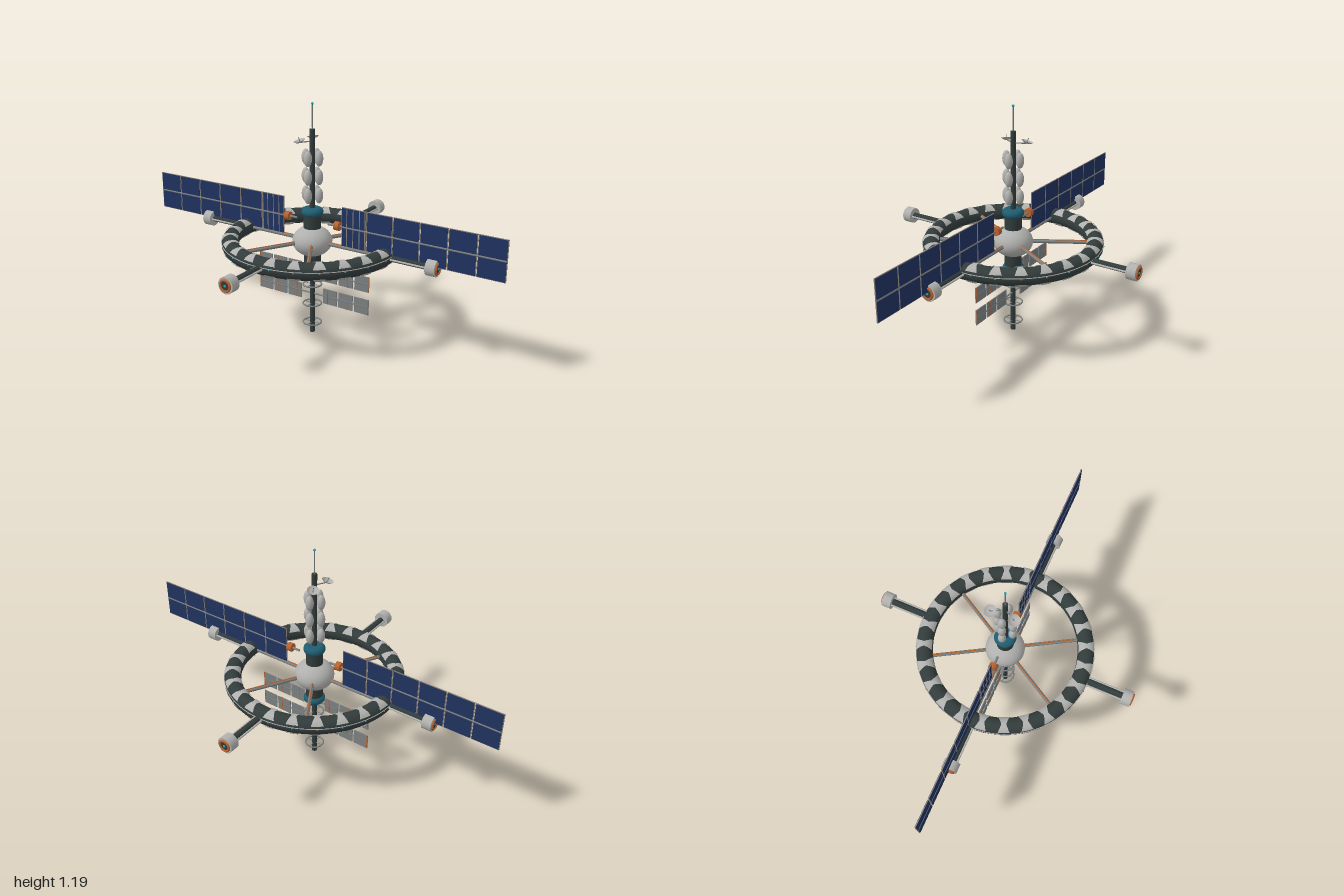
import * as THREE from 'three';

const mat = (name, color, extra = {}) => {
  const m = new THREE.MeshStandardMaterial({ color, ...extra });
  m.name = name;
  return m;
};

export function createModel() {
  const dark = mat('dark hull', 0x323c3b);
  const light = mat('light grey', 0xb0b0ae, { side: THREE.DoubleSide });
  const mid = mat('mid grey', 0x7c8080);
  const teal = mat('teal', 0x1f5d70);
  const orange = mat('orange', 0xb8622f);
  const navy = mat('solar blue', 0x20325f);
  const tan = mat('frame tan', 0x8a8076);
  const cyan = mat('cyan light', 0x2aa5b5);

  const root = new THREE.Group();
  root.name = 'spaceStation';
  const add = (parent, name, geo, material, x = 0, y = 0, z = 0) => {
    const m = new THREE.Mesh(geo, material);
    m.name = name;
    m.position.set(x, y, z);
    parent.add(m);
    return m;
  };
  const group = (name, parent = root) => {
    const g = new THREE.Group();
    g.name = name;
    parent.add(g);
    return g;
  };
  const box = (w, h, d) => new THREE.BoxGeometry(w, h, d);
  const cyl = (r, h, n = 20) => new THREE.CylinderGeometry(r, r, h, n);
  // rod along x from x0 to x1
  const rodX = (parent, name, r, x0, x1, material, y = 0, z = 0, n = 16) =>
    add(parent, name, cyl(r, x1 - x0, n).rotateZ(-Math.PI / 2), material, (x0 + x1) / 2, y, z);

  const Y = 0.5, R = 0.408, T = 0.042;

  // Habitat ring
  const ring = group('habitatRing');
  ring.position.y = Y;
  add(ring, 'ringHull', new THREE.TorusGeometry(R, T, 20, 96).rotateX(Math.PI / 2), dark);
  add(ring, 'ringTrim', new THREE.TorusGeometry(R + T, 0.002, 6, 96).rotateX(Math.PI / 2), light, 0, 0.009, 0);

  // Hourglass plates wrapped over the top and bottom of the ring
  const plateGeometry = (centre) => {
    const g = new THREE.PlaneGeometry(2, 2, 4, 12);
    const p = g.attributes.position;
    for (let i = 0; i < p.count; i++) {
      const u = p.getX(i), v = p.getY(i);
      const phi = centre + v * 1.05;
      const rad = R + (T + 0.004) * Math.cos(phi);
      const th = -u * (0.012 + 0.018 * Math.abs(v)) / rad;
      p.setXYZ(i, rad * Math.cos(th), (T + 0.004) * Math.sin(phi), rad * Math.sin(th));
    }
    g.computeVertexNormals();
    return g;
  };
  const topPlate = plateGeometry(Math.PI / 2), bottomPlate = plateGeometry(-Math.PI / 2);
  const dot = new THREE.SphereGeometry(0.004, 8, 6);
  for (let i = 0; i < 24; i++) {
    const a = (i + 0.5) * Math.PI / 12;
    add(ring, 'topPlate', topPlate, light).rotation.y = a;
    add(ring, 'bottomPlate', bottomPlate, light).rotation.y = a;
    add(ring, 'ringLight', dot, i % 3 ? cyan : orange,
      (R + T) * Math.cos(a), 0.004, (R + T) * Math.sin(a));
  }

  // Spokes with a service pipe
  for (let i = 0; i < 6; i++) {
    const s = group('spoke', ring);
    s.rotation.y = i * Math.PI / 3;
    rodX(s, 'spokeTube', 0.009, 0.08, R - 0.03, mid);
    rodX(s, 'spokePipe', 0.003, 0.08, R - 0.03, orange, 0.009, 0, 8);
  }

  // Docking arms
  for (let i = 0; i < 4; i++) {
    const a = group('dockingArm', ring);
    a.rotation.y = i * Math.PI / 2;
    rodX(a, 'armTube', 0.016, R + 0.03, 0.64, dark);
    for (const z of [-0.021, 0.021]) rodX(a, 'armRail', 0.005, R + 0.03, 0.64, light, 0, z, 8);
    rodX(a, 'dockingHead', 0.04, 0.632, 0.68, light, 0, 0, 24);
    rodX(a, 'dockingPort', 0.022, 0.67, 0.683, dark, 0, 0, 24);
    add(a, 'dockingRing', new THREE.TorusGeometry(0.026, 0.006, 8, 28).rotateY(Math.PI / 2), orange, 0.682);
    rodX(a, 'portLight', 0.006, 0.68, 0.686, cyan);
  }

  // Central hub and core
  add(root, 'hub', new THREE.SphereGeometry(0.1, 32, 20).scale(1, 0.77, 1), light, 0, Y, 0);
  add(root, 'core', cyl(0.043, 0.3, 28), dark, 0, Y, 0);
  for (const y of [0.353, 0.652]) {
    add(root, 'coreCollar', new THREE.TorusGeometry(0.033, 0.022, 14, 32).rotateX(Math.PI / 2), teal, 0, y, 0);
    add(root, 'collarPlug', cyl(0.033, 0.042, 24), teal, 0, y, 0);
  }

  // Masts and antenna
  add(root, 'upperMast', cyl(0.013, 0.405, 12), dark, 0, 0.8625, 0);
  add(root, 'lowerMast', cyl(0.013, 0.35, 12), dark, 0, 0.175, 0);
  add(root, 'antenna', cyl(0.003, 0.125, 8), mid, 0, 1.125, 0);
  add(root, 'antennaTip', new THREE.SphereGeometry(0.0065, 12, 8), cyan, 0, 1.186, 0);
  for (const y of [0.055, 0.16, 0.265]) {
    add(root, 'mastRing', new THREE.TorusGeometry(0.047, 0.004, 8, 32).rotateX(Math.PI / 2), mid, 0, y, 0);
    for (const a of [0, Math.PI / 2])
      add(root, 'ringBrace', box(0.094, 0.003, 0.003), mid, 0, y, 0).rotation.y = a;
  }

  // Storage tanks
  const tank = new THREE.SphereGeometry(0.02, 20, 14).scale(1, 1.95, 1);
  for (const y of [0.74, 0.832, 0.925])
    for (let i = 0; i < 4; i++) {
      const a = i * Math.PI / 2;
      add(root, 'tank', tank, light, 0.039 * Math.cos(a), y, 0.039 * Math.sin(a));
    }

  // Dishes
  const bowl = new THREE.LatheGeometry(
    [[0, 0], [0.012, 0.002], [0.021, 0.006], [0.029, 0.013]].map(([x, y]) => new THREE.Vector2(x, y)), 24);
  for (const s of [1, -1]) {
    const d = group('dish');
    d.position.set(-0.032, 1.004, 0.056 * s);
    d.rotation.set(0.2 * s, 0, 0.25);
    add(d, 'dishBowl', bowl, light);
    add(d, 'dishFeed', cyl(0.0018, 0.028, 6), mid, 0, 0.014, 0);
    const arm = group('dishArm');
    arm.position.y = 1.006;
    arm.rotation.y = Math.atan2(-0.056 * s, -0.032);
    rodX(arm, 'dishStrut', 0.003, 0.01, 0.064, mid, 0, 0, 8);
  }

  // Solar wings and radiators, mirrored by turning about y
  for (const s of [1, -1]) {
    const wing = group('solarWing');
    wing.position.y = 0.604;
    rodX(wing, 'wingSpar', 0.006, 0.092, 0.998, mid, 0, 0, 10);
    rodX(wing, 'wingGimbal', 0.022, 0.133, 0.16, orange);
    for (let i = 0; i < 6; i++) {
      const x = 0.238 + i * 0.139;
      add(wing, 'panelFrame', box(0.136, 0.2, 0.004), tan, x);
      add(wing, 'solarPanel', box(0.13, 0.194, 0.007), navy, x);
    }
    for (const x of [0.2, 0.235, 0.27, 0.3])
      add(wing, 'panelStrip', box(0.004, 0.194, 0.002), tan, x, 0, 0.004);

    for (const y of [0.335, 0.215]) {
      const rad = group('radiator');
      rad.position.y = y;
      rodX(rad, 'radiatorBoom', 0.004, 0.01, 0.325, mid, 0, 0, 8);
      [0.106, 0.197, 0.288].forEach((x, i) => {
        add(rad, 'radiatorPanel', box(0.081, 0.08, 0.005), mid, x);
        add(rad, 'coolantLine', box(0.004, 0.08, 0.007), orange, x + (i - 1) * 0.025 + 0.012);
      });
      if (s < 0) rad.rotation.y = Math.PI;
    }
    if (s < 0) {
      wing.children.forEach((m) => { m.position.x *= -1; });
    }
  }
  return root;
}
